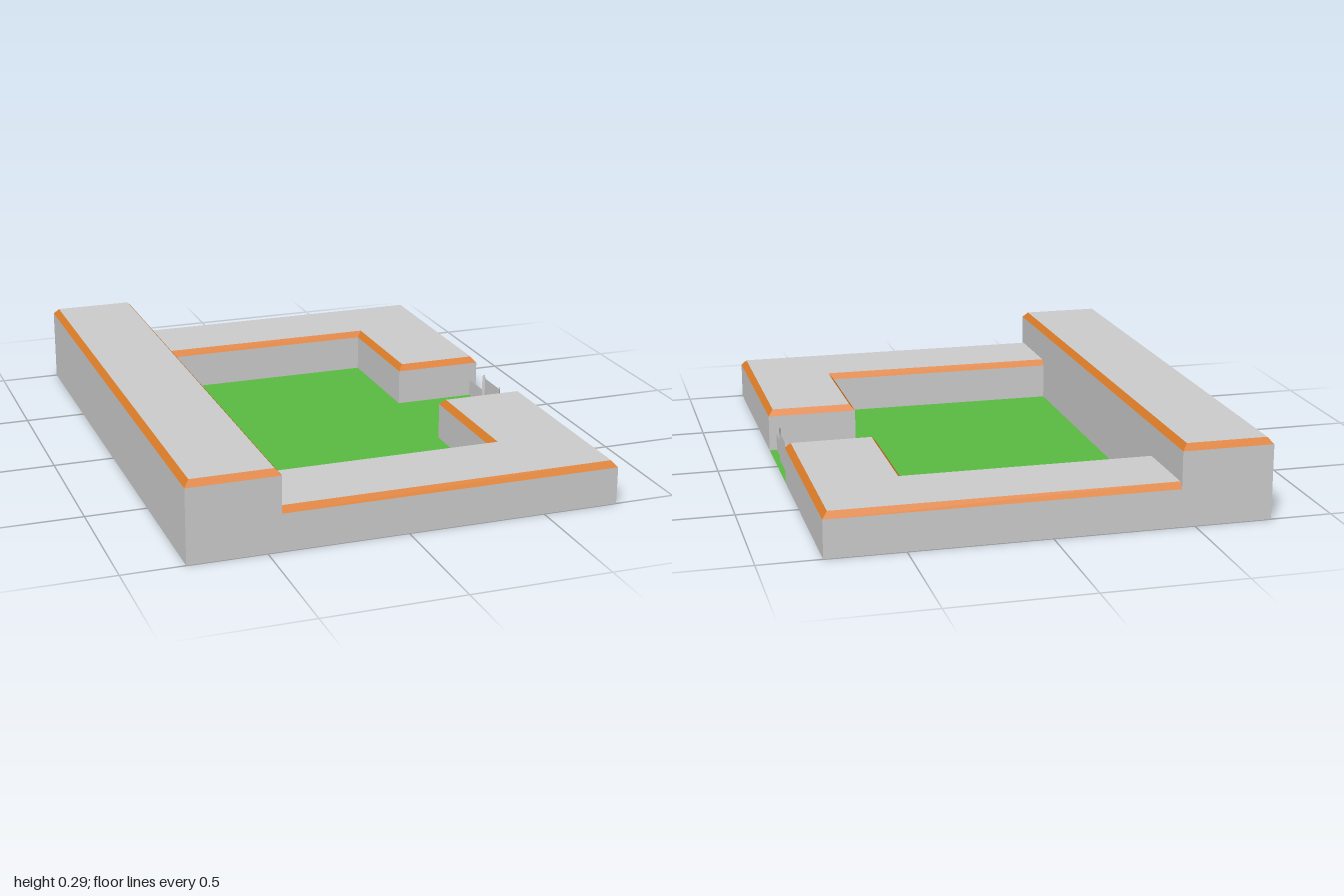
import * as THREE from 'three';

const INSET = 0.019; // how far the roof edge leans inward
const RISE = 0.022;  // height of the sloped roof edge

const material = (color) =>
  new THREE.MeshStandardMaterial({ color, flatShading: true, side: THREE.DoubleSide });
const grey = material(0xcccccc);
const orange = material(0xdb7c28);
const green = material(0x5aba42);

// Plans are drawn in x and -z, then laid flat.
function addFlat(parent, name, geometry, mat, y = 0) {
  geometry.rotateX(-Math.PI / 2).translate(0, y, 0);
  const mesh = new THREE.Mesh(geometry, mat);
  mesh.name = name;
  parent.add(mesh);
}

const toShape = (points) => new THREE.Shape(points.map(([x, y]) => new THREE.Vector2(x, y)));

// Moves every edge of a counter-clockwise right-angled plan inward; the last edge may stay put.
function insetPlan(points, keepLast) {
  const n = points.length;
  const shift = points.map(([x, y], i) => {
    const [u, v] = points[(i + 1) % n];
    const len = Math.hypot(u - x, v - y);
    const d = keepLast && i === n - 1 ? 0 : INSET / len;
    return [(y - v) * d, (u - x) * d];
  });
  return points.map(([x, y], i) => {
    const before = shift[(i + n - 1) % n];
    return [x + before[0] + shift[i][0], y + before[1] + shift[i][1]];
  });
}

// A block with walls, a sloped coloured roof edge and a flat roof.
function building(name, plan, height, keepLast = false) {
  const group = new THREE.Group();
  group.name = name;
  const inner = insetPlan(plan, keepLast);
  addFlat(group, 'walls',
    new THREE.ExtrudeGeometry(toShape(plan), { depth: height, bevelEnabled: false }), grey);

  const positions = [];
  plan.forEach((a, i) => {
    if (keepLast && i === plan.length - 1) return;
    const j = (i + 1) % plan.length;
    const b = plan[j], c = inner[j], d = inner[i];
    positions.push(...a, 0, ...b, 0, ...c, RISE, ...a, 0, ...c, RISE, ...d, RISE);
  });
  const trim = new THREE.BufferGeometry();
  trim.setAttribute('position', new THREE.Float32BufferAttribute(positions, 3));
  trim.computeVertexNormals();
  addFlat(group, 'roofEdge', trim, orange, height);

  addFlat(group, 'roof', new THREE.ShapeGeometry(toShape(inner)), grey, height + RISE);
  return group;
}

// Thin upright panel following a path in plan, with a top height at each point: [x, z, height].
function fence(points) {
  const positions = [];
  for (let i = 0; i < points.length - 1; i++) {
    const [x, z, h] = points[i];
    const [u, w, k] = points[i + 1];
    positions.push(x, 0, z, u, k, w, u, 0, w, x, 0, z, x, h, z, u, k, w);
  }
  const geometry = new THREE.BufferGeometry();
  geometry.setAttribute('position', new THREE.Float32BufferAttribute(positions, 3));
  geometry.computeVertexNormals();
  const mesh = new THREE.Mesh(geometry, grey);
  mesh.name = 'gateFence';
  return mesh;
}

export function createModel() {
  const model = new THREE.Group();
  model.name = 'courtyardBuilding';

  // Tall block along one side
  model.add(building('tallBlock',
    [[-0.778, -1], [-0.45, -1], [-0.45, 1], [-0.778, 1]], 0.27));

  // Two mirrored L-shaped low wings, butting against the tall block
  const wing = [[-0.45, 0.67], [0.443, 0.67], [0.443, 0.203], [0.778, 0.203], [0.778, 1], [-0.45, 1]];
  const mirrored = wing.map(([x, y]) => [x, -y]).reverse();
  model.add(building('rearWing', wing, 0.136, true));
  model.add(building('frontWing', mirrored, 0.136, true));

  // Lawn in the courtyard and out through the gateway
  const lawn = [[-0.45, -0.67], [0.443, -0.67], [0.443, -0.203], [0.778, -0.203],
    [0.778, 0.203], [0.443, 0.203], [0.443, 0.67], [-0.45, 0.67]];
  addFlat(model, 'lawn', new THREE.ShapeGeometry(toShape(lawn)), green, 0.001);

  // Gate: low side walls, raised posts and a taller middle panel
  const half = [[0.75, 0.203, 0.065], [0.75, 0.08, 0.065], [0.75, 0.08, 0.12],
    [0.755, 0.075, 0.13], [0.758, 0.071, 0.125], [0.758, 0.07, 0.113]];
  const otherHalf = half.map(([x, z, h]) => [x, -z, h]).reverse();
  model.add(fence([...half, ...otherHalf]));

  return model;
}
